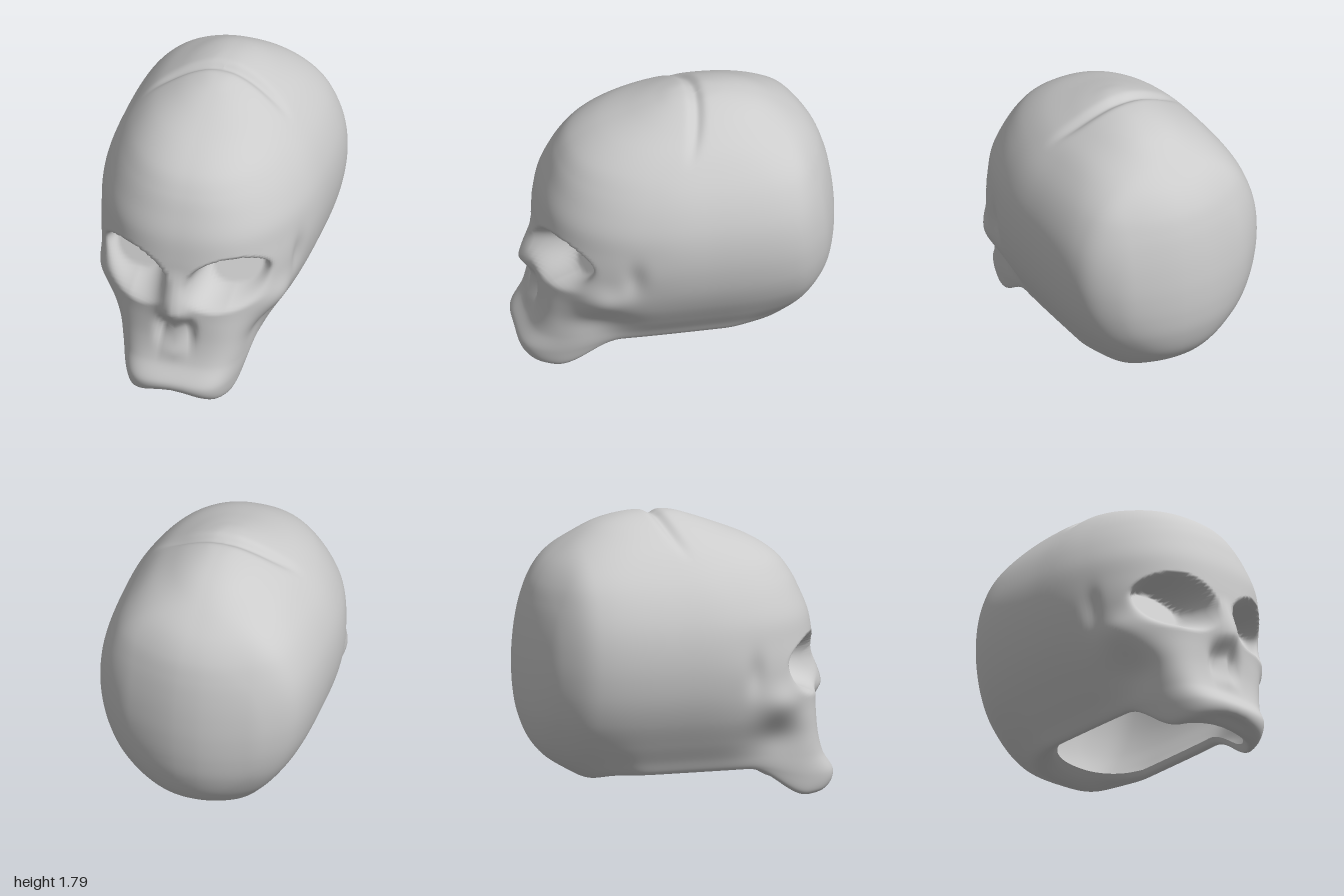
import * as THREE from 'three';

const COLS = 240;       // points around each ring
const STEPS = 9;        // rings between two key sections
const ZC = -0.15;       // z of the ring centres

// Key sections of the open shell, crown to rolled rim:
// [y at face, y at sides and back, half width, front z, back z, front squareness]
const KEYS = [
  [1.80, 1.80, 0.00, -0.15, -0.15, 2.2],
  [1.79, 1.79, 0.09, 0.00, -0.31, 2.2],
  [1.755, 1.755, 0.19, 0.12, -0.46, 2.2],
  [1.70, 1.70, 0.29, 0.27, -0.58, 2.2],
  [1.61, 1.61, 0.415, 0.49, -0.71, 2.25],
  [1.51, 1.51, 0.51, 0.645, -0.82, 2.3],
  [1.40, 1.40, 0.588, 0.735, -0.895, 2.3],
  [1.28, 1.28, 0.645, 0.795, -0.94, 2.35],
  [1.15, 1.15, 0.682, 0.845, -0.97, 2.4],
  [1.01, 1.01, 0.695, 0.87, -0.99, 2.4],
  [0.86, 0.86, 0.685, 0.885, -1.00, 2.5],
  [0.70, 0.70, 0.65, 0.89, -0.995, 2.6],
  [0.55, 0.55, 0.59, 0.885, -0.97, 3.0],
  [0.40, 0.40, 0.505, 0.89, -0.91, 3.8],
  [0.26, 0.29, 0.435, 0.925, -0.82, 4.4],
  [0.13, 0.22, 0.395, 1.00, -0.71, 4.4],
  [0.03, 0.20, 0.37, 0.97, -0.61, 4.6],
  [0.00, 0.21, 0.345, 0.88, -0.52, 5.0],
  [0.05, 0.24, 0.33, 0.83, -0.47, 5.0],
];
const RIM = KEYS.length - 2;

const { smoothstep, lerp } = THREE.MathUtils;
const bell = (d, s) => Math.exp(-((d / s) ** 2));

// Carve one side; ax is the distance from the middle plane
function sculpt(ax, y, z) {
  let x = ax;
  if (z > 0) {
    // cheekbone, hollow under it, temple dent
    x += 0.045 * bell(y - 0.64, 0.12) * bell(z - 0.56, 0.15) * smoothstep(ax, 0.3, 0.5);
    x -= 0.05 * bell(y - 0.4, 0.13) * bell(z - 0.54, 0.19) * smoothstep(ax, 0.25, 0.4);
    x -= 0.025 * bell(y - 0.84, 0.12) * bell(z - 0.35, 0.06);
  }
  if (z > 0.3) {
    // eye socket: sharp brow, soft lower edge, floor sloping forward
    const dx = (ax - 0.31) / 0.25;
    const dy = (y - 0.832 - 0.15 * Math.min(0, ax - 0.31)) / 0.19;
    const r = Math.pow(Math.abs(dx) ** 2.2 + Math.abs(dy) ** 2.2, 1 / 2.2);
    const inner = lerp(0.45, 0.72, smoothstep(dy, -0.6, 0.6));
    const mask = 1 - smoothstep(r, inner, 1.04);
    const gap = z - (0.585 - 0.55 * (y - 0.84) + 0.12 * (0.3 - ax));
    const depth = 0.5 * (gap + Math.sqrt(gap * gap + 0.002));
    z -= depth * mask;

    // nose bone, then the nasal opening with its middle ridge
    const bridge = smoothstep(y, 0.5, 0.66) * (1 - smoothstep(y, 0.63, 0.95));
    z += 0.085 * bridge * bell(ax, 0.05 + 0.12 * Math.max(0, 0.95 - y));
    z -= 0.045 * bell(ax - 0.08, 0.04) * bell(y - 0.48, 0.1);
    z += 0.015 * bell(ax, 0.03) * bell(y - 0.45, 0.1);
    z += 0.015 * bell(ax, 0.05) * bell(y - 0.33, 0.05);
  }
  // groove across the crown
  const line = z + 0.13 - 0.45 * ax * ax;
  y -= 0.03 * bell(line, 0.04) * smoothstep(y, 1.52, 1.74);
  return [x, y, z];
}

function skullGeometry() {
  const tracks = KEYS[0].map((_, c) =>
    new THREE.SplineCurve(KEYS.map((k, i) => new THREE.Vector2(i, k[c]))));
  const rings = (KEYS.length - 1) * STEPS;
  const position = [], index = [];

  for (let i = 0; i <= rings; i++) {
    const [yFace, ySide, w, front, back, nFront] = tracks.map((t) => t.getPoint(i / rings).y);
    const rim = bell(i / STEPS - RIM, 1.6);
    for (let j = 0; j < COLS; j++) {
      const a = (j / COLS) * Math.PI * 2;
      const s = Math.sin(a), c = Math.cos(a);
      // superellipse, squarer towards the jaw and the back
      const nBack = lerp(2.3, 3.1, smoothstep(w, 0.3, 0.6));
      const n = lerp(nBack, nFront, smoothstep(c, -0.4, 0.4));
      let ax = Math.max(w, 0) * Math.pow(Math.abs(s), 2 / n);
      let z = ZC + ((c >= 0 ? front : back) - ZC) * Math.pow(Math.abs(c), 2 / n);
      // slight point at the middle of the back
      z += 0.04 * smoothstep(ax, 0, 0.38) * smoothstep(-z, 0.65, 0.9);
      let y = lerp(ySide, yFace, smoothstep(z, 0.38, 0.8));
      // raised middle of the upper jaw, lowered base at the back
      y += rim * bell(ax, 0.2) * (0.04 * smoothstep(z, 0.6, 0.8) + 0.04 * smoothstep(z, 0.88, 0.96));
      y -= 0.055 * rim * bell(z + 0.61, 0.1);
      [ax, y, z] = sculpt(ax, y, z);
      position.push(s < 0 ? -ax : ax, y, z);

      if (i < rings) {
        const p = i * COLS + j, q = i * COLS + ((j + 1) % COLS);
        index.push(p, p + COLS, q, q, p + COLS, q + COLS);
      }
    }
  }
  const geometry = new THREE.BufferGeometry();
  geometry.setAttribute('position', new THREE.Float32BufferAttribute(position, 3));
  geometry.setIndex(index);
  geometry.computeVertexNormals();
  return geometry;
}

export function createModel() {
  const group = new THREE.Group();
  group.name = 'skullModel';
  const material = new THREE.MeshStandardMaterial({ color: 0xcccccc, side: THREE.DoubleSide });
  const skull = new THREE.Mesh(skullGeometry(), material);
  skull.name = 'skull';
  group.add(skull);
  return group;
}
